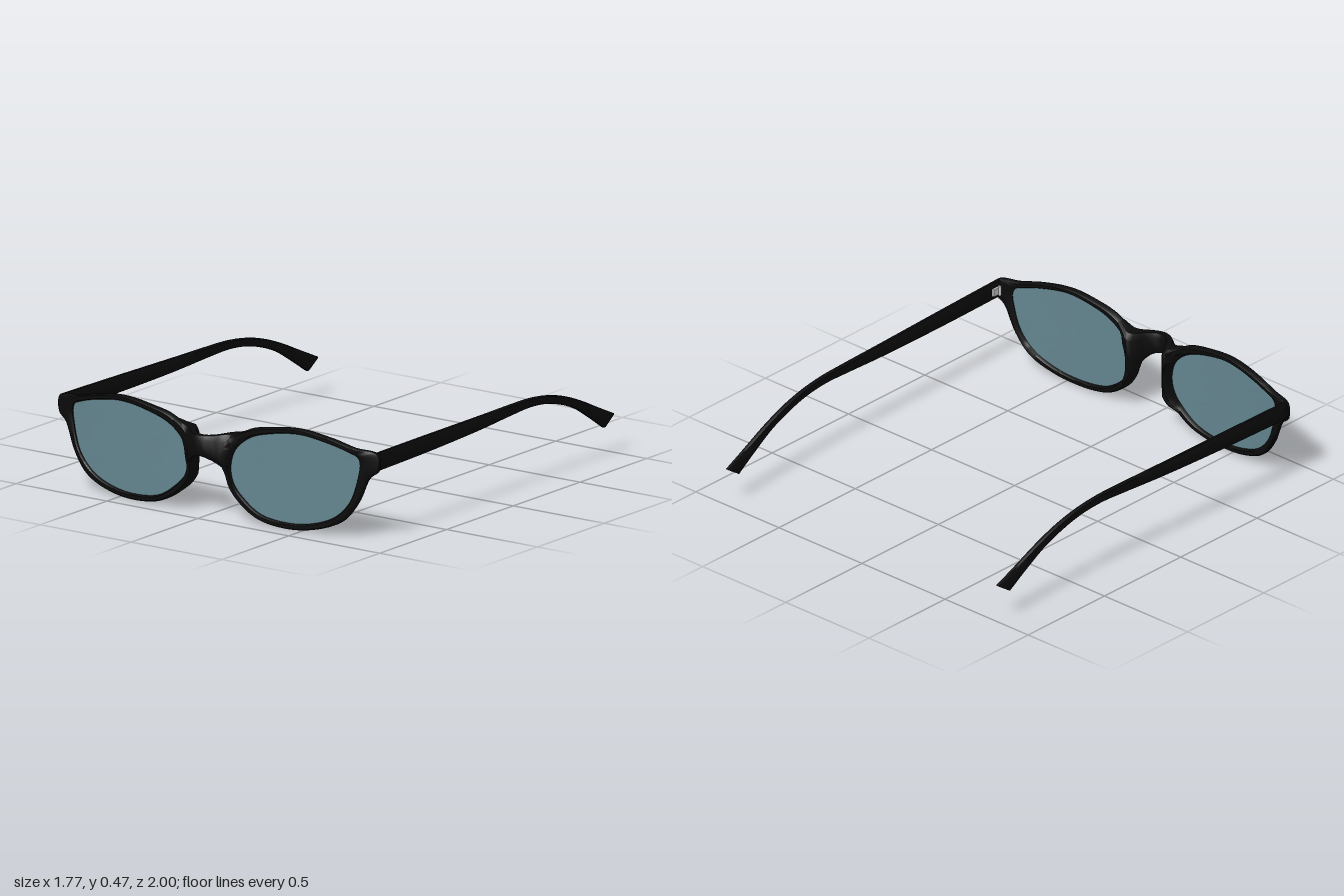
import * as THREE from 'three';
import { toCreasedNormals } from 'three/addons/utils/BufferGeometryUtils.js';

const frameMat = new THREE.MeshStandardMaterial({ color: 0x0b0b0b });
const lensMat = new THREE.MeshStandardMaterial({ color: 0x64858f });
const hingeMat = new THREE.MeshStandardMaterial({ color: 0xcccccc });

// Piecewise linear lookup in a list of [key, value]
function lookup(table, x) {
  for (let i = 1; i < table.length; i++) {
    const [a, va] = table[i - 1], [b, vb] = table[i];
    if (x <= b) return va + (vb - va) * Math.max(0, (x - a) / (b - a));
  }
  return table[table.length - 1][1];
}

// Front and back faces of the bowed frame, with the bridge bulge and nose pads
const FRONT = [[0, 0.927], [0.3, 0.925], [0.45, 0.917], [0.6, 0.902], [0.75, 0.88], [0.88, 0.85]];
const BRIDGE_FRONT = [[0, 1], [0.03, 0.995], [0.06, 0.98], [0.1, 0.95], [0.14, 0.932], [0.18, 0.926]];
const BACK = [[0, 0.96], [0.03, 0.95], [0.06, 0.92], [0.09, 0.865], [0.11, 0.846], [0.135, 0.853],
  [0.17, 0.882], [0.3, 0.886], [0.45, 0.88], [0.6, 0.865], [0.75, 0.846], [0.88, 0.825]];
function frontZ(x, y) {
  x = Math.abs(x);
  const base = lookup(FRONT, x);
  if (x > 0.18) return base;
  return THREE.MathUtils.lerp(base, lookup(BRIDGE_FRONT, x), THREE.MathUtils.smoothstep(y, 0.18, 0.27));
}
const backZ = (x) => lookup(BACK, Math.abs(x));

// Skin over rings of points; ends are capped unless the path is closed
function loft(rings, closed = false, crease = 0.8) {
  const n = rings[0].length, m = rings.length, pts = rings.flat(), index = [];
  for (let i = 0; i < (closed ? m : m - 1); i++) {
    for (let j = 0; j < n; j++) {
      const a = i * n + j, b = i * n + (j + 1) % n;
      const c = ((i + 1) % m) * n + j, d = ((i + 1) % m) * n + (j + 1) % n;
      index.push(a, b, c, b, d, c);
    }
  }
  if (!closed) {
    const e = (m - 1) * n;
    for (let j = 1; j < n - 1; j++) index.push(0, j + 1, j, e, e + j, e + j + 1);
  }
  // Turn the faces outward
  let volume = 0;
  const cross = new THREE.Vector3();
  for (let k = 0; k < index.length; k += 3) {
    volume += pts[index[k]].dot(cross.crossVectors(pts[index[k + 1]], pts[index[k + 2]]));
  }
  if (volume < 0) index.reverse();
  const geo = new THREE.BufferGeometry().setFromPoints(pts);
  geo.setIndex(index);
  return toCreasedNormals(geo, crease);
}

function part(name, geo, mat) {
  const mesh = new THREE.Mesh(geo, mat);
  mesh.name = name;
  return mesh;
}

// Chamfered section: u runs inner to outer, v back to front
const SECTION = [[0, 0.2], [0, 0.8], [0.2, 1], [0.8, 1], [1, 0.8], [1, 0.2], [0.8, 0], [0.2, 0]];

// Paired rim points: inner x, y and outer x, y
const RIM = [
  [0.118, 0.23, 0.088, 0.22], [0.14, 0.315, 0.09, 0.325], [0.22, 0.386, 0.2, 0.418],
  [0.34, 0.425, 0.33, 0.451], [0.49, 0.443, 0.49, 0.466], [0.645, 0.42, 0.65, 0.443],
  [0.74, 0.393, 0.76, 0.415], [0.778, 0.376, 0.873, 0.397], [0.79, 0.35, 0.876, 0.322],
  [0.783, 0.29, 0.832, 0.283], [0.745, 0.17, 0.778, 0.165], [0.67, 0.09, 0.7, 0.07],
  [0.55, 0.042, 0.57, 0.018], [0.42, 0.028, 0.42, 0.001], [0.28, 0.047, 0.268, 0.022],
  [0.19, 0.103, 0.169, 0.078], [0.137, 0.16, 0.109, 0.145],
];
const curveOf = (k) => new THREE.CatmullRomCurve3(
  RIM.map((p) => new THREE.Vector3(p[k], p[k + 1], 0)), true, 'centripetal');
const STEPS = 136;
const along = (curve) => Array.from({ length: STEPS }, (_, i) => curve.getPoint(i / STEPS));
const inner = along(curveOf(0)), outer = along(curveOf(2));

function rim(s) {
  return loft(inner.map((p, i) => SECTION.map(([u, v]) => {
    const q = p.clone().lerp(outer[i], u);
    const b = backZ(q.x);
    return new THREE.Vector3(s * q.x, q.y, b + (frontZ(q.x, q.y) - b) * v);
  })), true);
}

// Thin lens following the bow of the frame
function lens(s) {
  const ring = (k, dz) => inner.map((p) => {
    const x = 0.45 + (p.x - 0.45) * k, y = 0.23 + (p.y - 0.23) * k;
    return new THREE.Vector3(s * x, y, lookup(FRONT, x) - 0.018 + dz);
  });
  const ks = [0.02, 0.2, 0.4, 0.6, 0.8, 1.01];
  return loft([...ks.map((k) => ring(k, 0.004)), ...ks.reverse().map((k) => ring(k, -0.004))]);
}

// Bridge columns: x, bottom, top
const BRIDGE = [[0, 0.287, 0.381], [0.03, 0.281, 0.381], [0.056, 0.267, 0.382], [0.075, 0.247, 0.384],
  [0.092, 0.222, 0.386], [0.108, 0.25, 0.388], [0.125, 0.3, 0.391], [0.15, 0.345, 0.398], [0.19, 0.385, 0.412]];
function bridge() {
  const cols = [...BRIDGE.slice(1).reverse().map(([x, b, t]) => [-x, b, t]), ...BRIDGE];
  return loft(cols.map(([x, lo, hi]) => SECTION.map(([u, v]) => {
    const y = lo + (hi - lo) * u, b = backZ(x);
    return new THREE.Vector3(x, y, b + (frontZ(x, y) - b) * v);
  })));
}

// Temple stations: top z, y and bottom z, y
const TEMPLE = [
  [0.845, 0.402, 0.845, 0.32], [0.5, 0.4, 0.5, 0.322], [0.2, 0.397, 0.2, 0.328], [0, 0.395, 0, 0.335],
  [-0.2, 0.394, -0.2, 0.346], [-0.36, 0.39, -0.35, 0.351], [-0.5, 0.372, -0.47, 0.34],
  [-0.62, 0.342, -0.58, 0.313], [-0.74, 0.297, -0.7, 0.268], [-0.87, 0.238, -0.81, 0.204], [-1, 0.18, -0.925, 0.13],
];
function temple(s) {
  const top = new THREE.CatmullRomCurve3(TEMPLE.map((p) => new THREE.Vector3(0, p[1], p[0])));
  const low = new THREE.CatmullRomCurve3(TEMPLE.map((p) => new THREE.Vector3(0, p[3], p[2])));
  const rings = [];
  for (let i = 0; i <= 50; i++) {
    const a = low.getPoint(i / 50), b = top.getPoint(i / 50);
    rings.push(SECTION.map(([u, v]) => {
      // the section is tall, so its chamfer is pulled toward the edges
      const h = u === 0.2 ? 0.08 : u === 0.8 ? 0.92 : u;
      const p = a.clone().lerp(b, h);
      p.x = s * (0.842 + 0.028 * (p.z - 0.83) / 1.83 * 1.7 + 0.008 + 0.022 * v);
      return p;
    }));
  }
  return loft(rings);
}

// Small metal hinge inside the corner
function hinge(s) {
  const g = new THREE.Group();
  g.name = 'hinge';
  const leaf = part('hingeLeaf', new THREE.BoxGeometry(0.016, 0.035, 0.05), hingeMat);
  leaf.position.set(s * 0.846, 0.36, 0.802);
  const pin = part('hingePin', new THREE.CylinderGeometry(0.008, 0.008, 0.045, 12), hingeMat);
  pin.position.set(s * 0.838, 0.36, 0.815);
  g.add(leaf, pin);
  return g;
}

export function createModel() {
  const model = new THREE.Group();
  model.name = 'glasses';
  model.add(part('bridge', bridge(), frameMat));
  for (const [s, side] of [[1, 'left'], [-1, 'right']]) {
    model.add(
      part(side + 'Rim', rim(s), frameMat),
      part(side + 'Lens', lens(s), lensMat),
      part(side + 'Temple', temple(s), frameMat),
      hinge(s),
    );
  }
  return model;
}
